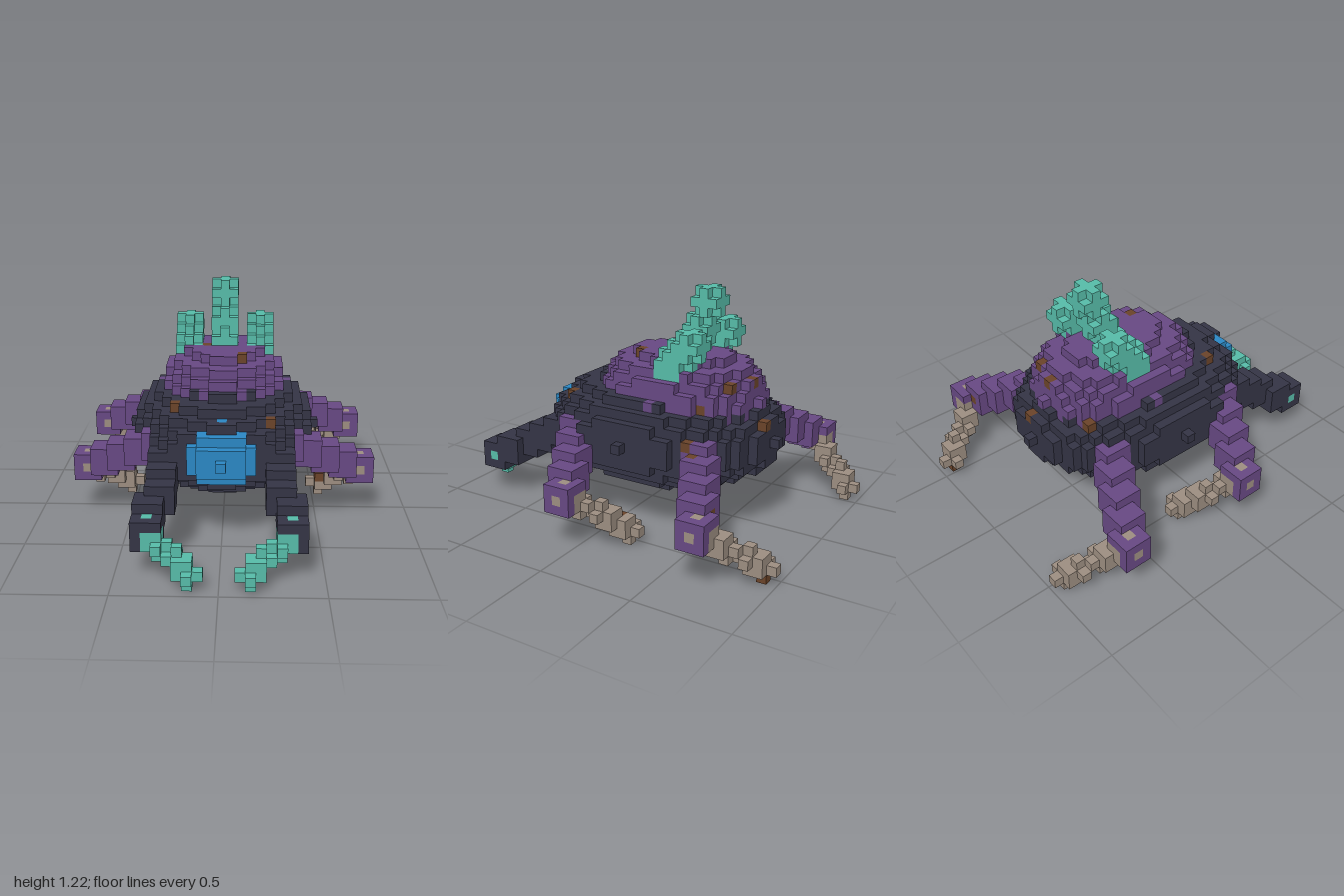
import * as THREE from 'three';
import { mergeGeometries } from 'three/addons/utils/BufferGeometryUtils.js';

const VOXEL = 2 / 41;

const flat = (name, color) => {
  const m = new THREE.MeshStandardMaterial({ color });
  m.name = name;
  return m;
};

export function createModel() {
  const shell = flat('dark shell', 0x343445);
  const purple = flat('purple hide', 0x674883);
  const blue = flat('blue eye', 0x2b87c3);
  const teal = flat('teal crystal', 0x56bba8);
  const tan = flat('tan bone', 0x9c8d80);
  const brown = flat('brown rust', 0x6a4329);

  // Voxel grid: later parts replace earlier ones where they overlap
  const cells = new Map();
  const parts = new Map();
  const put = (x, y, z, part) => cells.set(`${x},${y},${z}`, part);
  const addPart = (name, material) => {
    parts.set(name, material);
    return name;
  };

  function ellipsoid(name, material, [cx, cy, cz], [rx, ry, rz]) {
    const part = addPart(name, material);
    for (let x = -rx; x <= rx; x++)
      for (let y = -ry; y <= ry; y++)
        for (let z = -rz; z <= rz; z++)
          if ((x / rx) ** 2 + (y / ry) ** 2 + (z / rz) ** 2 <= 1.0001) put(cx + x, cy + y, cz + z, part);
  }

  // Chain of 3-wide brushes. reach 1: cross, 2: cube without corners, 3: full cube
  function chain(name, material, points, reach) {
    const part = addPart(name, material);
    for (const [px, py, pz] of points)
      for (let x = -1; x <= 1; x++)
        for (let y = -1; y <= 1; y++)
          for (let z = -1; z <= 1; z++)
            if (Math.abs(x) + Math.abs(y) + Math.abs(z) <= reach) put(px + x, py + y, pz + z, part);
  }

  // Body, domed back and eye
  ellipsoid('body', shell, [0, 9, -2], [10, 6, 13]);
  ellipsoid('backDome', purple, [0, 13, -4], [7, 5, 9]);
  ellipsoid('eye', blue, [0, 9, 8], [4, 3, 4]);

  for (const [side, s] of [['Left', 1], ['Right', -1]]) {
    // Walking legs: thick thighs and thin shins that sweep backwards
    for (const [end, z0, shinZ] of [
      ['front', 5, [1, 0, -2, -3, -4]],
      ['back', -10, [-14, -15, -16, -18, -19]],
    ]) {
      const thigh = [0, 1, 2, 3, 4].map((i) => [s * (7 + 2 * i), 9 - i, z0 - i]);
      chain(`${end}${side}Thigh`, purple, thigh, 3);
      chain(`${end}${side}Shin`, tan, shinZ.map((z, i) => [s * (15 - i), 5 - i, z]), 1);
    }
    // Front arms with hooked pincers
    const arm = [0, 1, 2, 3, 4].map((i) => [s * (i < 3 ? 6 : 7), 8 - i, 8 + 2 * i]);
    chain(`arm${side}`, shell, arm, 3);
    const claw = [[7, 4, 16], [6, 3, 17], [4, 2, 18], [3, 1, 19]];
    chain(`pincer${side}`, teal, claw.map(([x, y, z]) => [s * x, y, z]), 1);
    // Short outer crystal
    chain(`crystal${side}`, teal, [[16, -5], [17, -5], [18, -6], [19, -7]].map(([y, z]) => [s * 4, y, z]), 2);
  }

  // Tall middle crystal
  chain('crystalMiddle', teal, [[0, 16, -5], [0, 18, -5], [0, 20, -6], [0, 23, -7]], 2);

  // Scattered rust spots
  const rust = addPart('rustSpots', brown);
  for (const spot of [
    [2, 17, 0], [-5, 13, 5], [5, 12, 7], [9, 9, -10], [8, 10, -9], [1, 11, -14], [3, 15, -11],
    [0, 15, -12], [-5, 12, -11], [-2, 17, -4], [5, 13, -9], [11, 2, -3], [11, 0, -19], [13, 6, -14],
  ]) put(...spot, rust);

  // One square for each of the six face directions
  const faces = [[1, 0, 0], [-1, 0, 0], [0, 1, 0], [0, -1, 0], [0, 0, 1], [0, 0, -1]].map((d) => {
    const geometry = new THREE.PlaneGeometry(VOXEL, VOXEL);
    const turn = new THREE.Quaternion();
    if (d[2] === -1) turn.setFromAxisAngle(new THREE.Vector3(0, 1, 0), Math.PI);
    else turn.setFromUnitVectors(new THREE.Vector3(0, 0, 1), new THREE.Vector3(...d));
    geometry.applyQuaternion(turn);
    geometry.translate(...d.map((v) => (v * VOXEL) / 2));
    return { d, geometry };
  });

  // Gather exposed faces for each part
  const surfaces = new Map([...parts.keys()].map((name) => [name, []]));
  for (const [key, part] of cells) {
    const [x, y, z] = key.split(',').map(Number);
    for (const { d, geometry } of faces) {
      if (cells.has(`${x + d[0]},${y + d[1]},${z + d[2]}`)) continue;
      surfaces.get(part).push(geometry.clone().translate(x * VOXEL, (y + 0.5) * VOXEL, z * VOXEL));
    }
  }

  const model = new THREE.Group();
  model.name = 'crystalBeetle';
  for (const [name, list] of surfaces) {
    if (!list.length) continue;
    const mesh = new THREE.Mesh(mergeGeometries(list), parts.get(name));
    mesh.name = name;
    model.add(mesh);
  }
  return model;
}
